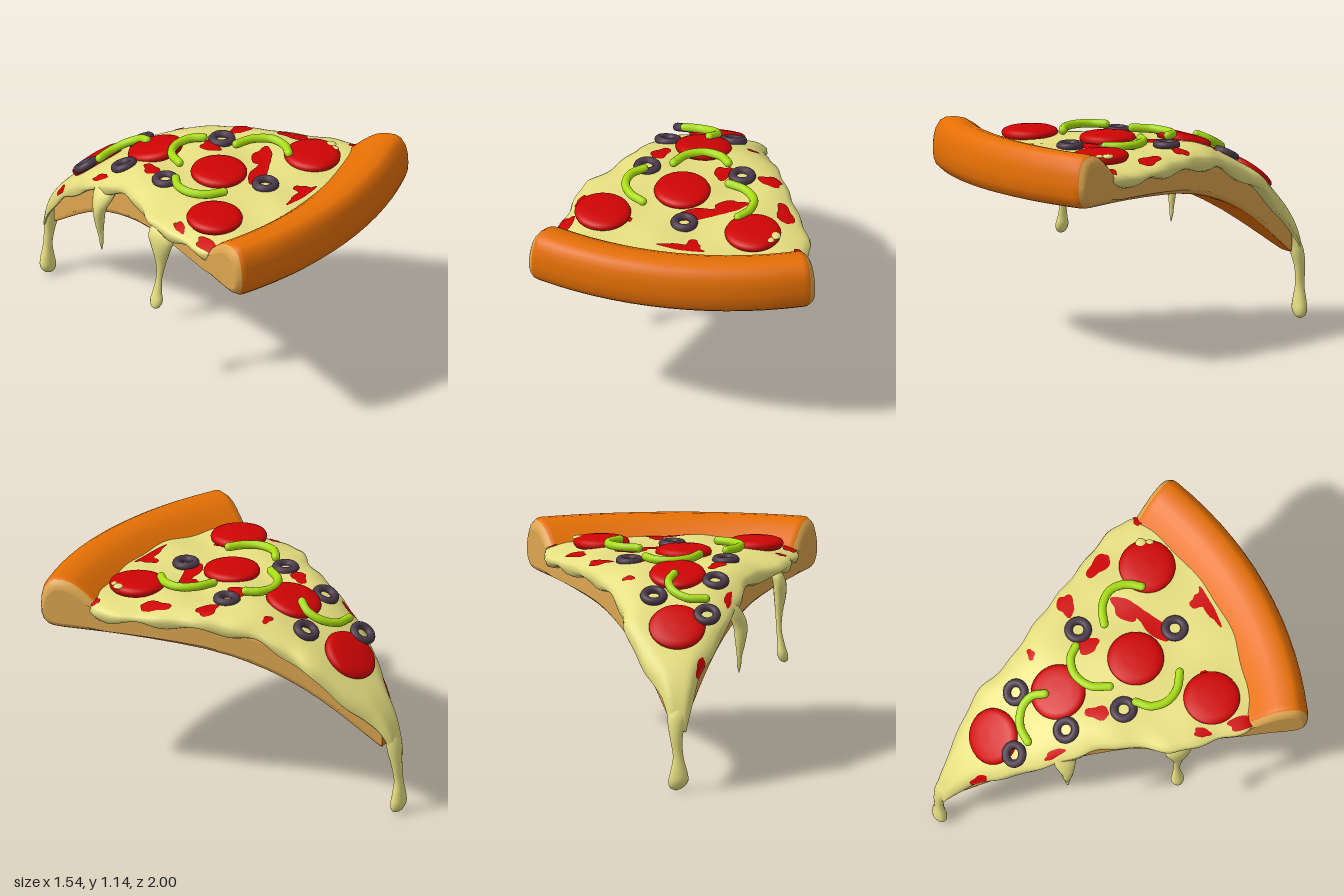
import * as THREE from 'three';

const mat = (name, color) => Object.assign(new THREE.MeshStandardMaterial({ color }), { name });

// Smooth 1D curve through [position, value] pairs
function curve(pts) {
  const slope = i => {
    const a = pts[Math.max(i - 1, 0)], b = pts[Math.min(i + 1, pts.length - 1)];
    return (b[1] - a[1]) / (b[0] - a[0]);
  };
  return v => {
    const last = pts.length - 1;
    const p = Math.min(Math.max(v, pts[0][0]), pts[last][0]);
    let i = 0;
    while (i < last - 1 && p > pts[i + 1][0]) i++;
    const [x0, y0] = pts[i], [x1, y1] = pts[i + 1], h = x1 - x0, t = (p - x0) / h;
    const t2 = t * t, t3 = t2 * t;
    return y0 * (2 * t3 - 3 * t2 + 1) + y1 * (3 * t2 - 2 * t3)
      + h * (slope(i) * (t3 - 2 * t2 + t) + slope(i + 1) * (t3 - t2));
  };
}

function build(points, index) {
  const g = new THREE.BufferGeometry();
  g.setAttribute('position', new THREE.Float32BufferAttribute(points.flat(), 3));
  g.setIndex(index);
  g.computeVertexNormals();
  return g;
}

// Skin over rows of closed loops
function loft(rows) {
  const n = rows[0].length, index = [];
  for (let i = 0; i < rows.length - 1; i++) {
    for (let j = 0; j < n; j++) {
      const a = i * n + j, b = i * n + (j + 1) % n;
      index.push(a, b, b + n, a, b + n, a + n);
    }
  }
  return build(rows.flat(), index);
}

const ring = (n, f) => Array.from({ length: n }, (_, i) => {
  const t = i / n * Math.PI * 2;
  return f(Math.cos(t), Math.sin(t), t);
});

// Drooping slice: underside, cheese top and cheese half widths along z
const under = curve([[-0.88, 0.37], [-0.6, 0.58], [-0.4, 0.695], [-0.2, 0.77], [0, 0.815], [0.4, 0.845], [0.8, 0.85]]);
const top = curve([[-0.98, 0.3], [-0.95, 0.42], [-0.9, 0.53], [-0.8, 0.66], [-0.6, 0.84], [-0.35, 0.985], [-0.2, 1.035], [0.1, 1.055], [0.4, 1.05], [0.7, 1.045]]);
const widthPlus = curve([[-1, 0.01], [-0.95, 0.045], [-0.9, 0.08], [-0.8, 0.145], [-0.6, 0.262], [-0.4, 0.3], [-0.2, 0.39], [0, 0.48], [0.2, 0.57], [0.4, 0.66], [0.53, 0.68], [0.6, 0.655], [0.8, 0.62]]);
const widthMinus = curve([[-1, 0.025], [-0.95, 0.05], [-0.9, 0.07], [-0.8, 0.12], [-0.6, 0.235], [-0.4, 0.32], [-0.2, 0.38], [0, 0.48], [0.13, 0.58], [0.4, 0.63], [0.53, 0.66], [0.6, 0.64], [0.8, 0.62]]);
const halfWidth = (side, z) => (side > 0 ? widthPlus : widthMinus)(z) + 0.005 * Math.sin(32 * z + side);

function cheeseY(x, z) {
  const u = Math.min(Math.abs(x) / halfWidth(Math.sign(x), z), 1.03);
  const bump = 0.008 * Math.sin(9 * x + 2) * Math.sin(12 * z) + 0.005 * Math.sin(17 * x + 6 * z);
  return top(z) + bump - 0.05 * u ** 6;
}

// Dough profile for one angle; the inset rounds the cut edges
function doughProfile([degrees, inset]) {
  const angle = degrees * Math.PI / 180;
  const stations = [0.12, 0.125, 0.14, 0.18, 0.25, 0.35, 0.45, 0.55, 0.65, 0.75, 0.85, 0.95, 1.1, 1.25, 1.4, 1.55, 1.64].map(r => [r]);
  stations.push([1.71, 1.04], [1.75, 1.075], [1.79, 1.105], [1.83, 1.127], [1.88, 1.138], [1.93, 1.136, 0.853],
    [1.96, 1.12, 0.862], [1.985, 1.08, 0.885], [1.997, 1.03, 0.92], [2, 0.98, 0.96]);
  const upper = [], lower = [];
  for (const [r, hi, lo] of stations) {
    const rr = r - 0.5 * inset * Math.max(0, (r - 1.8) / 0.2);
    const x = rr * Math.sin(angle), z = rr * Math.cos(angle) - 1;
    const a = hi ?? top(z) - 0.07, b = lo ?? under(z);
    const k = Math.min(inset, 0.25 * (a - b));
    upper.push([x, a - k, z]);
    lower.unshift([x, b + k * 0.6, z]);
  }
  return [...upper, ...lower];
}

export function createModel() {
  const group = new THREE.Group();
  const crust = mat('crust orange', 0xe67004), crumb = mat('crumb tan', 0xdda650);
  const cheese = mat('cheese yellow', 0xe6df80), red = mat('sauce red', 0xd00404);
  const olive = mat('olive purple', 0x4a3848), green = mat('pepper green', 0xa8dc12);
  const add = (name, geometry, material, parent = group) => {
    const m = new THREE.Mesh(geometry, material);
    m.name = name;
    parent.add(m);
    return m;
  };

  // Baked crust and underside
  const rows = [[-22.1, 0.012], [-21.8, 0.004], [-21.2, 0]];
  for (let a = -18; a <= 18; a += 3) rows.push([a, 0]);
  rows.push([21.2, 0], [21.8, 0.004], [22.1, 0.012]);
  add('crust', loft(rows.map(doughProfile)), crust);

  // Bulging cut sides: a rounded border and a flat face
  for (const side of [-1, 1]) {
    const name = side > 0 ? 'leftCutSide' : 'rightCutSide';
    const border = [[22.1, 0.012], [22.6, 0.027], [22.85, 0.045], [22.95, 0.06]].map(([a, k]) => doughProfile([side * a, k]));
    const p = border[3], n = p.length, index = [];
    for (let j = 0; j < n / 2 - 1; j++) {
      const a = j, b = j + 1, c = n - 2 - j, d = n - 1 - j;
      index.push(...(side > 0 ? [a, b, c, a, c, d] : [a, c, b, a, d, c]));
    }
    add(name, build(p, index), crumb);
    add(name + 'Border', loft(side > 0 ? border : border.reverse()), crumb);
  }

  // Melted cheese sheet with a rolled lip
  const sheet = [];
  for (let i = 0; i <= 90; i++) {
    const s = -0.96 + 1.76 * i / 90, bow = 0.13 * ((s + 1) / 1.72) ** 2, loop = [];
    for (let j = 0; j <= 40; j++) {
      const u = 1 - j / 20, z = s - bow * u * u, x = u * halfWidth(Math.sign(u), z);
      loop.push([x, cheeseY(x, z), z]);
    }
    const zl = s - bow, lip = Math.min(1, 0.55 + (s + 0.96) * 4);
    for (const [u, drop] of [[-1.012, 0.075], [-0.99, 0.1], [-0.94, 0.11], [0.94, 0.11], [0.99, 0.1], [1.012, 0.075]])
      loop.push([u * halfWidth(Math.sign(u), zl), top(zl) - drop * lip + 0.014 * Math.sin(21 * zl + u) * (drop > 0.08), zl]);
    sheet.push(loop);
  }
  sheet.unshift(sheet[0].map(() => [0, 0.33, -0.972]));
  add('cheese', loft(sheet), cheese);

  // Cheese drips: x, y, z, radius in x, radius in z
  const drip = (name, pts) => {
    const c = [0, 1, 2, 3, 4].map(k => curve(pts.map((p, i) => [i, p[k]])));
    const steps = (pts.length - 1) * 4;
    add(name, loft(Array.from({ length: steps + 1 }, (_, i) => {
      const [x, y, z, rx, rz] = c.map(f => f(i / 4));
      return ring(16, (co, si) => [x + rx * co, y, z + rz * si]);
    })), cheese);
  };
  drip('tipDrip', [[0, 0.5, -0.885, 0, 0], [0, 0.47, -0.9, 0.035, 0.02], [0.005, 0.41, -0.93, 0.05, 0.03], [0.01, 0.35, -0.945, 0.045, 0.034],
    [0.01, 0.27, -0.96, 0.032, 0.028], [0, 0.18, -0.965, 0.028, 0.024], [-0.003, 0.1, -0.965, 0.046, 0.033],
    [0, 0.05, -0.963, 0.053, 0.036], [0.01, 0.015, -0.96, 0.034, 0.024], [0.012, 0, -0.96, 0, 0]]);
  drip('longSideDrip', [[-0.52, 0.985, 0.18, 0, 0], [-0.54, 0.95, 0.18, 0.03, 0.07], [-0.557, 0.9, 0.18, 0.036, 0.08], [-0.56, 0.83, 0.18, 0.033, 0.056],
    [-0.555, 0.74, 0.175, 0.02, 0.03], [-0.555, 0.65, 0.165, 0.014, 0.018], [-0.565, 0.57, 0.16, 0.02, 0.026],
    [-0.572, 0.52, 0.16, 0.028, 0.036], [-0.58, 0.485, 0.16, 0.022, 0.025], [-0.585, 0.47, 0.16, 0, 0]]);
  drip('shortSideDrip', [[-0.27, 0.93, -0.37, 0, 0], [-0.285, 0.9, -0.37, 0.025, 0.06], [-0.315, 0.84, -0.375, 0.042, 0.06], [-0.34, 0.77, -0.38, 0.038, 0.035],
    [-0.34, 0.69, -0.38, 0.028, 0.024], [-0.335, 0.61, -0.375, 0.014, 0.014], [-0.333, 0.56, -0.372, 0.011, 0.009], [-0.333, 0.515, -0.37, 0, 0]]);

  // Sauce patches lying on the cheese: x, z, radius, radius, turn
  [[-0.22, -0.13, 0.038, 0.065, 0.6], [-0.12, -0.79, 0.012, 0.045, 0.5], [-0.275, -0.42, 0.018, 0.055, 0.2],
    [0.25, -0.28, 0.035, 0.018, 0.2], [0.14, 0, 0.05, 0.06, 0.3], [0.395, 0.01, 0.065, 0.045, 0.2],
    [0.515, 0.27, 0.042, 0.085, -0.4], [0.22, 0.28, 0.09, 0.055, -0.5], [0.08, 0.36, 0.13, 0.045, -0.35],
    [-0.57, 0.31, 0.025, 0.045, 0.5], [-0.62, 0.53, 0.035, 0.085, 0.2], [-0.3, 0.47, 0.03, 0.02, 0],
    [0.03, 0.67, 0.12, 0.025, 0], [0.08, 0.635, 0.038, 0.045, 0], [0.64, 0.57, 0.03, 0.02, 0]
  ].forEach(([px, pz, a, b, turn], k) => {
    const patch = [0, 0.25, 0.5, 0.75, 1].map(f => ring(24, (co, si, t) => {
      const wob = f * (1 + 0.14 * Math.sin(3 * t + k) + 0.08 * Math.sin(5 * t + 2 * k));
      const u = a * co * wob, v = b * si * wob;
      const x = px + u * Math.cos(turn) - v * Math.sin(turn), z = pz + u * Math.sin(turn) + v * Math.cos(turn);
      return [x, cheeseY(x, z) + 0.006, z];
    }));
    add('saucePatch', loft(patch), red);
  });

  // Rest a topping on the slope of the cheese
  const place = (mesh, x, z, lift, span) => {
    const lo = top(z - span), hi = top(z + span);
    mesh.position.set(x, (top(z) * 2 + lo + hi) / 4 + lift, z);
    mesh.rotation.x = -Math.atan((hi - lo) / (2 * span));
  };

  // Sausage slices
  const disc = new THREE.LatheGeometry([[0, -0.01], [0.135, -0.01], [0.147, 0.005], [0.15, 0.018], [0.143, 0.032],
    [0.12, 0.042], [0.07, 0.048], [0, 0.05]].map(p => new THREE.Vector2(...p)), 40);
  for (const [x, z] of [[0, -0.63], [-0.01, -0.25], [-0.05, 0.19], [-0.435, 0.44], [0.38, 0.49]])
    place(add('sausageSlice', disc, red), x, z, -0.004, 0.13);

  // Cheese flecks on one slice
  for (const [x, z, r] of [[0.505, 0.52, 0.03], [0.485, 0.56, 0.022]]) {
    const fleck = add('cheeseFleck', new THREE.SphereGeometry(r, 14, 8), cheese);
    fleck.scale.y = 0.4;
    place(fleck, x, z, 0.03, 0.05);
  }

  // Olive rings
  const oliveRing = new THREE.TorusGeometry(0.051, 0.022, 12, 28).rotateX(Math.PI / 2);
  for (const [x, z, lift] of [[-0.16, -0.6, 0.04], [0.12, -0.44, 0.012], [-0.21, -0.315, 0.006], [-0.27, 0, 0.006], [0.24, 0, 0.004], [0.005, 0.455, 0.008]])
    place(add('oliveRing', oliveRing, olive), x, z, lift, 0.06);

  // Curved pepper strips with rounded ends
  for (const [lift, path] of [
    [0.05, [[-0.155, -0.515], [-0.06, -0.51], [0.02, -0.455], [0.04, -0.385], [0.01, -0.325]]],
    [0.037, [[-0.13, -0.01], [-0.075, -0.1], [0.02, -0.14], [0.11, -0.115], [0.155, -0.06]]],
    [0.04, [[-0.275, 0.07], [-0.335, 0.13], [-0.35, 0.22], [-0.31, 0.3], [-0.235, 0.355]]],
    [0.04, [[0.19, 0.13], [0.285, 0.17], [0.345, 0.25], [0.335, 0.34], [0.285, 0.405]]]]) {
    const pts = path.map(([x, z]) => new THREE.Vector3(x, top(z) + lift, z));
    const strip = new THREE.Group();
    strip.name = 'pepperStrip';
    add('stripBody', new THREE.TubeGeometry(new THREE.CatmullRomCurve3(pts), 28, 0.023, 12), green, strip);
    for (const p of [pts[0], pts[4]]) add('stripEnd', new THREE.SphereGeometry(0.023, 12, 8), green, strip).position.copy(p);
    group.add(strip);
  }
  return group;
}
